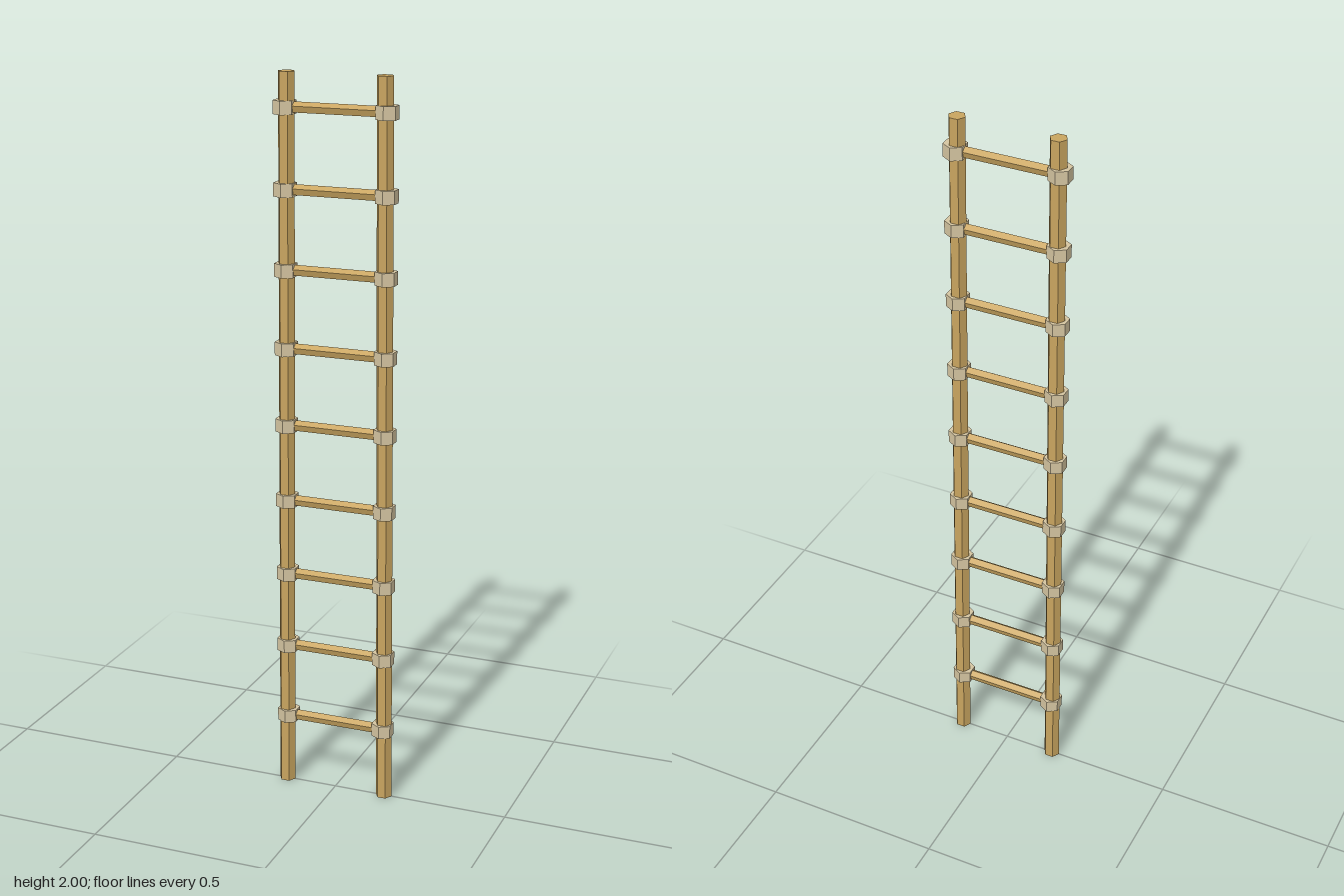
import * as THREE from 'three';

export function createModel() {
  const model = new THREE.Group();
  model.name = 'ladder';

  const bamboo = new THREE.MeshStandardMaterial({ color: 0xc8a45f, flatShading: true });
  bamboo.name = 'bamboo';
  const rope = new THREE.MeshStandardMaterial({ color: 0xd4c4a0, flatShading: true });
  rope.name = 'rope';

  const height = 2, footX = 0.146, topX = 0.135, jointX = 0.141;
  const rungCount = 9, firstRung = 0.203, rungStep = 0.2131;

  const add = (name, geometry, material, x, y) => {
    const mesh = new THREE.Mesh(geometry, material);
    mesh.name = name;
    mesh.position.set(x, y, 0);
    model.add(mesh);
  };

  // Hexagonal rails, sheared so they lean inward while their ends stay level
  for (const side of [-1, 1]) {
    const rail = new THREE.CylinderGeometry(0.023, 0.023, height, 6);
    rail.rotateY(Math.PI / 6);
    const shear = new THREE.Matrix4().makeShear(0, 0, side * (topX - footX) / height, 0, 0, 0);
    shear.elements[4] = side * (topX - footX) / height;
    shear.elements[1] = 0;
    rail.applyMatrix4(shear);
    add(side < 0 ? 'rightRail' : 'leftRail', rail, bamboo, side * (topX + footX) / 2, height / 2);
  }

  // Thin rungs with an edge upward, and a hexagonal binding at each joint
  const rung = new THREE.CylinderGeometry(0.015, 0.015, 2 * jointX, 5);
  rung.rotateY(Math.PI / 2).rotateZ(Math.PI / 2);
  const binding = new THREE.CylinderGeometry(0.031, 0.031, 0.036, 6);
  for (let i = 0; i < rungCount; i++) {
    const y = firstRung + i * rungStep;
    add('rung' + (i + 1), rung, bamboo, 0, y);
    add('rightBinding' + (i + 1), binding, rope, -jointX, y);
    add('leftBinding' + (i + 1), binding, rope, jointX, y);
  }

  return model;
}
